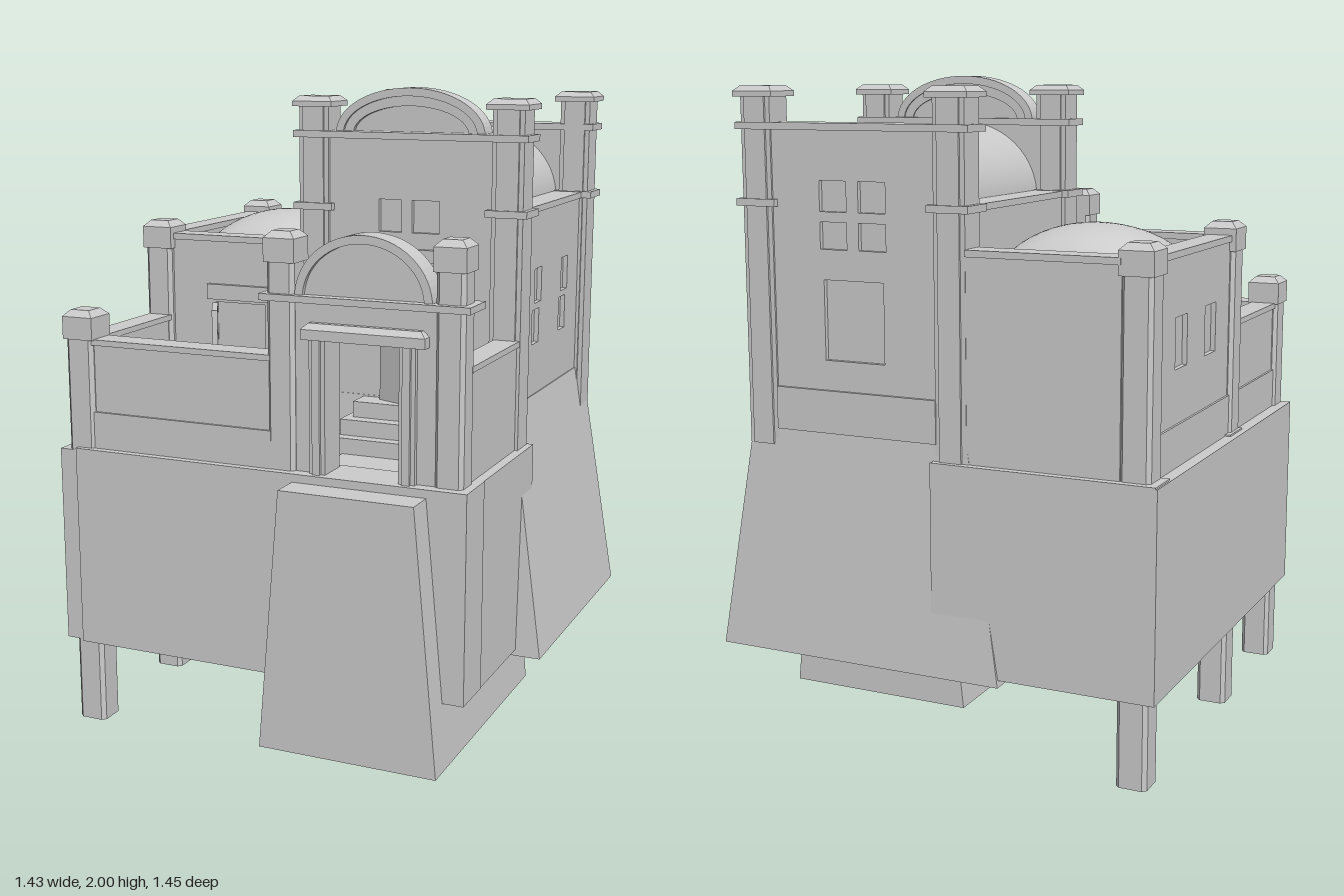
import * as THREE from 'three';

export function createModel() {
  const model = new THREE.Group();
  const flat = new THREE.MeshStandardMaterial({ color: 0xcccccc, flatShading: true, side: THREE.DoubleSide });
  const smooth = new THREE.MeshStandardMaterial({ color: 0xcccccc, side: THREE.DoubleSide });

  const add = (name, geo, mat = flat) => {
    const mesh = new THREE.Mesh(geo, mat);
    mesh.name = name;
    model.add(mesh);
    return mesh;
  };
  const box = (name, x0, x1, y0, y1, z0, z1) => add(name,
    new THREE.BoxGeometry(x1 - x0, y1 - y0, z1 - z0).translate((x0 + x1) / 2, (y0 + y1) / 2, (z0 + z1) / 2));

  // Box whose bottom and top rectangles [x0, x1, z0, z1] differ
  const taper = (name, b, t, y0, y1, open = false) => {
    const geo = new THREE.BoxGeometry(1, 1, 1);
    const p = geo.attributes.position;
    for (let i = 0; i < p.count; i++) {
      const r = p.getY(i) > 0 ? t : b;
      p.setXYZ(i, r[p.getX(i) > 0 ? 1 : 0], p.getY(i) > 0 ? y1 : y0, r[p.getZ(i) > 0 ? 3 : 2]);
    }
    if (open) { // leave out the underside
      const idx = Array.from(geo.index.array);
      idx.splice(18, 6);
      geo.setIndex(idx);
    }
    return add(name, geo);
  };

  // Chamfered square pillar with a bevelled top
  const pillar = (name, x, z, y0, y1, h = 0.047) => {
    const c = h - 0.012;
    const s = new THREE.Shape([[-c, -h], [c, -h], [h, -c], [h, c], [c, h], [-c, h], [-h, c], [-h, -c]]
      .map(([a, b]) => new THREE.Vector2(a, b)));
    add(name, new THREE.ExtrudeGeometry(s, { depth: y1 - y0 - 0.08, bevelEnabled: false })
      .rotateX(-Math.PI / 2).translate(x, y0, z));
    const e = h + 0.005, i = h - 0.015;
    box(name + 'Head', x - e, x + e, y1 - 0.09, y1 - 0.02, z - e, z + e);
    taper(name + 'Top', [x - e, x + e, z - e, z + e], [x - i, x + i, z - i, z + i], y1 - 0.02, y1);
  };

  // Wall in the x-y plane with rectangular openings [a0, a1, y0, y1]; side = true turns it to run along z
  const wall = (name, a0, a1, y0, y1, d0, d1, holes = [], side = false, glazed = true) => {
    const rect = (p, x0, x1, b, t) => p.moveTo(x0, b).lineTo(x1, b).lineTo(x1, t).lineTo(x0, t).closePath();
    const s = rect(new THREE.Shape(), a0, a1, y0, y1);
    holes.forEach(h => s.holes.push(rect(new THREE.Path(), ...h)));
    const geo = new THREE.ExtrudeGeometry(s, { depth: d1 - d0, bevelEnabled: false });
    geo.translate(0, 0, side ? -d1 : d0);
    if (side) geo.rotateY(-Math.PI / 2);
    add(name, geo);
    if (glazed) holes.forEach(([x0, x1, b, t]) => side
      ? box(name + 'Pane', d0 + 0.015, d1 - 0.015, b, t, x0, x1)
      : box(name + 'Pane', x0, x1, b, t, d0 + 0.015, d1 - 0.015));
  };

  // Half-elliptical slab, optionally hollowed to a ring
  const arch = (name, cx, y, rx, ry, z0, z1, ring = 0) => {
    const s = new THREE.Shape();
    s.absellipse(0, 0, rx, ry, 0, Math.PI, false, 0);
    if (ring) s.absellipse(0, 0, rx - ring, ry - ring, Math.PI, 0, true, 0);
    s.closePath();
    add(name, new THREE.ExtrudeGeometry(s, { depth: z1 - z0, bevelEnabled: false, curveSegments: 16 })
      .translate(cx, y, z0));
  };

  // Foundation: ring beams, sloped tower footing and the two sloped ramps
  box('leftBeam', -0.72, -0.575, 0.27, 0.895, -0.715, 0.615);
  box('frontBeam', -0.655, 0.632, 0.27, 0.905, 0.48, 0.63);
  box('backBeam', -0.715, -0.02, 0.27, 0.9, -0.715, -0.6);
  box('middleBeam', -0.7, -0.05, 0.27, 0.9, 0.0, 0.12);
  box('rightBeam', 0.51, 0.63, 0.27, 0.905, 0.01, 0.62);
  taper('towerFooting', [-0.24, 0.71, -0.725, 0.145], [-0.115, 0.588, -0.685, 0.1], 0.25, 1.035);
  taper('gateRamp', [0.02, 0.585, -0.12, 0.725], [0.09, 0.51, -0.12, 0.725], 0.075, 0.88, true);
  taper('doorRamp', [-0.05, 0.54, -0.57, 0.27], [0.04, 0.45, -0.57, 0.27], 0.1, 0.93, true);
  [[0.18, 0.23, 0.98], [0.155, 0.185, 1.03]].forEach(([w, z, y]) =>
    box('doorStep', 0.245 - w, 0.245 + w, 0.9, y, 0.05, z));

  // Corner pillars that run down as legs
  [[0.565, 1.335], [0.075, 1.56], [-0.645, 1.56]].forEach(([z, top]) => pillar('cornerPillar', -0.643, z, 0, top));

  // Domed room: walls, coping, roof
  wall('roomFrontWall', -0.6, -0.11, 0.9, 1.5, 0.04, 0.1, [[-0.44, -0.26, 0.92, 1.3]]);
  box('roomLintel', -0.465, -0.228, 1.31, 1.36, 0.09, 0.115);
  wall('roomBackWall', -0.6, -0.11, 0.9, 1.5, -0.69, -0.62);
  wall('roomSideWall', -0.6, 0.03, 0.9, 1.5, -0.675, -0.61,
    [[-0.46, -0.36, 1.18, 1.33], [-0.2, -0.1, 1.18, 1.33]], true);
  box('roomRoof', -0.62, -0.1, 1.43, 1.46, -0.63, 0.05);
  box('roomFrontCoping', -0.6, -0.13, 1.5, 1.52, 0.03, 0.108);
  box('roomBackCoping', -0.6, -0.13, 1.5, 1.52, -0.7, -0.61);
  box('roomSideCoping', -0.682, -0.602, 1.5, 1.52, -0.6, 0.03);
  box('roomSidePlinth', -0.682, -0.62, 0.89, 1.02, -0.6, 0.03);
  const doorLeaf = (x, z, w, angle, y0, y1) => add('doorLeaf',
    new THREE.BoxGeometry(w, y1 - y0, 0.018).translate(w / 2, (y0 + y1) / 2, 0).rotateY(angle).translate(x, 0, z));
  doorLeaf(-0.435, 0.115, 0.16, -1.09, 0.92, 1.3);

  // Square pillow dome
  const N = 20, dome = new THREE.PlaneGeometry(2, 2, N, N).rotateX(-Math.PI / 2);
  const dp = dome.attributes.position;
  for (let i = 0; i < dp.count; i++) {
    const u = dp.getX(i), v = dp.getZ(i);
    const round = 1 - 0.1 * u * u * v * v;
    const rise = Math.sqrt(Math.max(0, (1 - u * u * 0.95) * (1 - v * v * 0.95)));
    dp.setXYZ(i, -0.355 + u * 0.245 * round, 1.435 + 0.138 * rise, -0.285 + v * 0.24 * round);
  }
  dome.computeVertexNormals();
  add('roomDome', dome, smooth);

  // Tower walls with recessed windows
  wall('towerFrontWall', -0.05, 0.53, 0.9, 1.85, 0.02, 0.098,
    [[0.14, 0.215, 1.56, 1.66], [0.25, 0.34, 1.56, 1.66], [0.15, 0.33, 1.03, 1.46]]);
  box('towerDoorLintel', 0.12, 0.36, 1.47, 1.51, 0.09, 0.115);
  wall('towerBackWall', -0.05, 0.53, 0.9, 1.85, -0.685, -0.61,
    [[0.13, 0.22, 1.61, 1.7], [0.26, 0.35, 1.61, 1.7], [0.13, 0.22, 1.5, 1.58], [0.26, 0.35, 1.5, 1.58], [0.14, 0.34, 1.17, 1.41]]);
  box('towerBackPlinth', -0.03, 0.51, 0.95, 1.08, -0.695, -0.66);
  const sideWindows = [];
  for (const z of [-0.18, -0.47])
    for (const [a, y] of [[0, 1.33], [0.05, 1.2]]) sideWindows.push([z + a * 0.4, z + 0.07 + a * 0.4, y, y + 0.11]);
  wall('towerRightWall', -0.61, 0.03, 0.95, 1.63, -0.115, -0.035, [], true);
  wall('towerLeftWall', -0.61, 0.03, 0.95, 1.63, 0.505, 0.585, sideWindows, true);
  for (const x of [-0.073, 0.543]) box('towerSideCoping', x - 0.05, x + 0.05, 1.62, 1.64, -0.6, 0.03);
  doorLeaf(0.16, 0.118, 0.16, -0.4, 1.03, 1.46);

  // Tower pillars, rings, caps and cross bands
  for (const z of [0.062, -0.645]) {
    for (const x of [-0.078, 0.56]) {
      box('towerPillar', x - 0.05, x + 0.05, 0.9, 1.94, z - 0.046, z + 0.046);
      box('towerPillarEdge', x - 0.035, x + 0.035, 0.9, 1.94, z - 0.053, z + 0.053);
      box('towerPillarRing', x - 0.066, x + 0.066, 1.62, 1.642, z - 0.06, z + 0.06);
      box('towerPillarCap', x - 0.067, x + 0.067, 1.94, 1.956, z - 0.062, z + 0.062);
      taper('towerPillarTop', [x - 0.067, x + 0.067, z - 0.062, z + 0.062],
        [x - 0.05, x + 0.05, z - 0.045, z + 0.045], 1.956, 1.972);
    }
    box('towerBand', -0.145, 0.625, 1.845, 1.866, z - 0.058, z + 0.058);
  }
  // Stepped arch over the tower front
  arch('towerArchRim', 0.235, 1.86, 0.245, 0.14, 0.02, 0.09, 0.025);
  arch('towerArchInnerRim', 0.235, 1.86, 0.22, 0.115, 0.025, 0.08, 0.03);
  arch('towerArchPanel', 0.235, 1.86, 0.2, 0.095, 0.03, 0.065);

  // Barrel roof
  const barrel = new THREE.CylinderGeometry(1, 1, 0.64, 40, 1, true, -Math.PI / 2, Math.PI);
  barrel.rotateX(Math.PI / 2);
  // Keep the curved half facing up whichever way the arc starts
  barrel.computeBoundingBox();
  if (barrel.boundingBox.max.y < 0.5) barrel.rotateZ(Math.PI);
  barrel.scale(0.262, 0.235, 1).translate(0.235, 1.62, -0.295);
  add('barrelRoof', barrel, smooth);
  box('towerCeiling', -0.05, 0.52, 1.59, 1.62, -0.63, 0.04);

  // Courtyard walls with plinths and copings
  box('yardFrontWall', -0.6, 0.01, 0.9, 1.23, 0.53, 0.597);
  box('yardFrontPlinth', -0.6, 0.01, 0.9, 1.02, 0.525, 0.605);
  box('yardFrontCoping', -0.6, 0.01, 1.23, 1.248, 0.52, 0.608);
  box('yardRightWall', -0.675, -0.61, 0.89, 1.23, 0.11, 0.53);
  box('yardRightPlinth', -0.682, -0.605, 0.89, 1.02, 0.11, 0.53);
  box('yardRightCoping', -0.682, -0.602, 1.23, 1.248, 0.11, 0.53);
  box('yardLeftWall', 0.535, 0.6, 0.9, 1.23, 0.1, 0.53);
  box('yardLeftCoping', 0.528, 0.608, 1.23, 1.248, 0.1, 0.53);

  // Gate: pillars, wall with opening, frame, lintel, band and arch
  pillar('gatePillar', 0.042, 0.56, 0.9, 1.61, 0.044);
  pillar('gatePillar', 0.563, 0.555, 0.9, 1.61, 0.044);
  wall('gateWall', 0.08, 0.53, 0.9, 1.42, 0.525, 0.59, [[0.18, 0.42, 0.9, 1.3]], false, false);
  for (const x of [0.16, 0.44]) {
    box('gateJamb', x - 0.025, x + 0.025, 0.9, 1.31, 0.5, 0.605);
    box('gateJambTrim', x - 0.012, x + 0.012, 0.9, 1.31, 0.49, 0.615);
  }
  box('gateLintel', 0.117, 0.5, 1.305, 1.335, 0.478, 0.625);
  taper('gateLintelTop', [0.117, 0.5, 0.478, 0.625], [0.135, 0.482, 0.495, 0.608], 1.335, 1.352);
  box('gateBand', -0.018, 0.63, 1.41, 1.43, 0.49, 0.62);
  arch('gateArchRim', 0.3, 1.42, 0.212, 0.19, 0.515, 0.6, 0.025);
  arch('gateArchPanel', 0.3, 1.42, 0.195, 0.172, 0.53, 0.585);

  return model;
}
